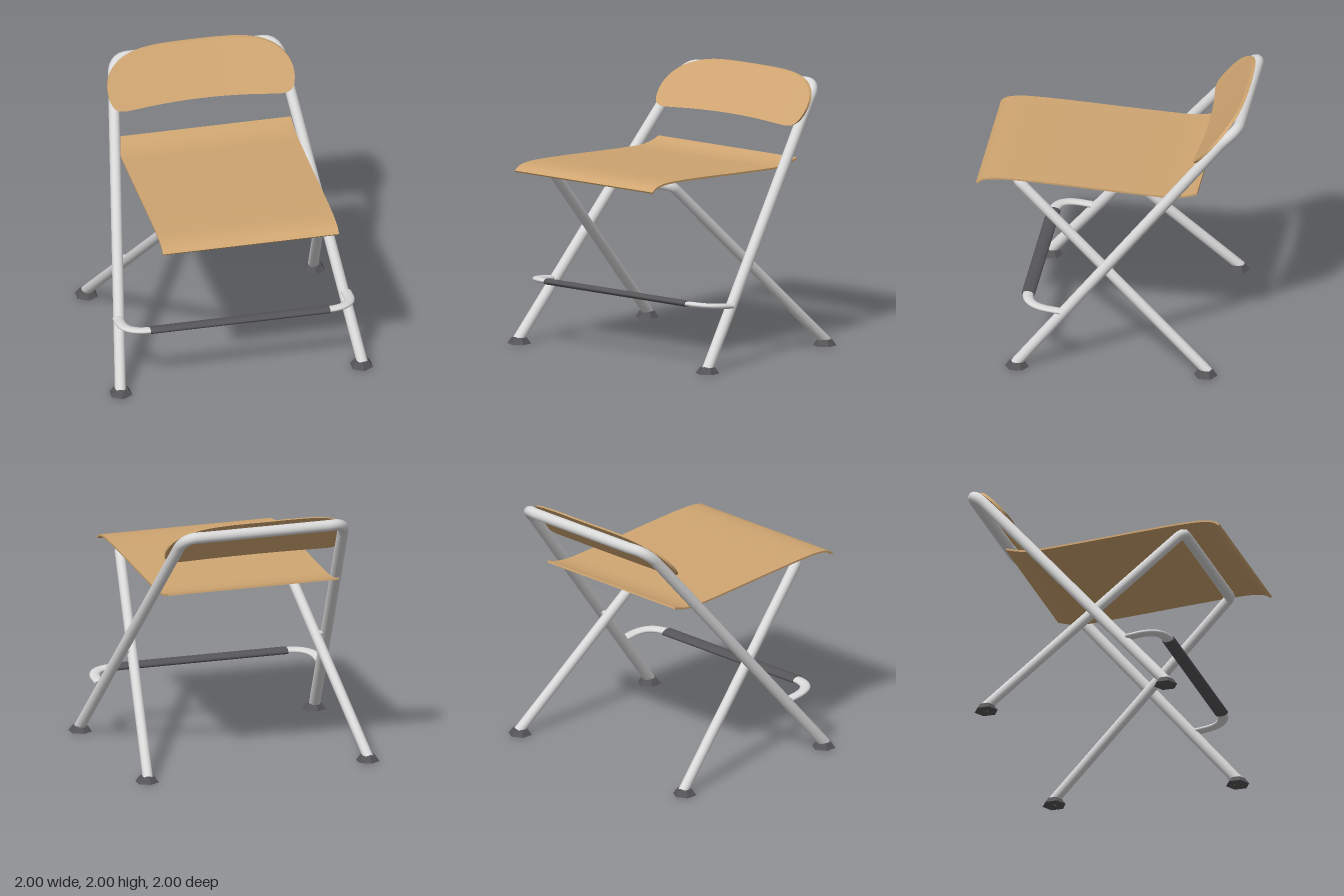
import * as THREE from 'three';

const V = (x, y, z) => new THREE.Vector3(x, y, z);

export function createModel() {
  const steel = new THREE.MeshStandardMaterial({ name: 'steel', color: 0xd9d9d9 });
  const rubber = new THREE.MeshStandardMaterial({ name: 'darkRubber', color: 0x565558 });
  const wood = new THREE.MeshStandardMaterial({ name: 'wood', color: 0xcfa571 });

  const chair = new THREE.Group();
  chair.name = 'foldingChair';
  const frame = new THREE.Group();
  frame.name = 'chairParts';
  frame.position.x = -0.0125;
  chair.add(frame);

  const add = (name, geometry, material, parent = frame) => {
    const mesh = new THREE.Mesh(geometry, material);
    mesh.name = name;
    parent.add(mesh);
    return mesh;
  };

  // Symmetric U of tube: end, start of bend, bend control and end of bend on the +x side
  const uTube = (end, bendStart, bendCorner, bendEnd, radius) => {
    const flip = p => V(-p.x, p.y, p.z);
    const path = new THREE.CurvePath();
    path.add(new THREE.LineCurve3(end, bendStart));
    path.add(new THREE.QuadraticBezierCurve3(bendStart, bendCorner, bendEnd));
    path.add(new THREE.LineCurve3(bendEnd, flip(bendEnd)));
    path.add(new THREE.QuadraticBezierCurve3(flip(bendEnd), flip(bendCorner), flip(bendStart)));
    path.add(new THREE.LineCurve3(flip(bendStart), flip(end)));
    return new THREE.TubeGeometry(path, 200, radius, 16, false);
  };

  // Long frame: front legs rising to the bar behind the backrest
  add('frontLegFrame', uTube(V(0.925, 0.025, 0.67), V(0.643, 1.83, -0.842),
    V(0.625, 1.935, -0.955), V(0.5, 1.922, -0.957), 0.042), steel);

  // Short frame: rear legs rising forward to the bar under the seat
  add('rearLegFrame', uTube(V(0.868, 0.025, -0.775), V(0.607, 1.36, 0.665),
    V(0.6, 1.392, 0.705), V(0.56, 1.388, 0.705), 0.039), steel);

  // Footrest: flattened tube with a dark grip sleeve
  const footrest = new THREE.Group();
  footrest.name = 'footrest';
  footrest.position.set(0, 0.457, 0.34);
  footrest.rotation.x = -0.12;
  frame.add(footrest);
  const bar = uTube(V(0.873, 0, 0), V(0.873, 0, 0.08), V(0.873, 0, 0.27), V(0.67, 0, 0.27), 0.04);
  bar.scale(1, 0.5, 1);
  add('footrestTube', bar, steel, footrest);
  const grip = new THREE.CylinderGeometry(0.05, 0.05, 1.37, 20);
  grip.rotateZ(Math.PI / 2).scale(1, 0.47, 1);
  add('footrestGrip', grip, rubber, footrest).position.z = 0.27;

  for (const [side, s] of [['left', 1], ['right', -1]]) {
    // Faceted rubber feet
    for (const [end, x, z] of [['Front', 0.92, 0.66], ['Rear', 0.868, -0.755]]) {
      const geometry = new THREE.CylinderGeometry(0.058, 0.09, 0.045, 6).toNonIndexed();
      geometry.computeVertexNormals();
      add(side + end + 'Foot', geometry, rubber).position.set(s * x, 0.0225, z);
    }
    // Pivot pin where the frames cross
    const pin = new THREE.CylinderGeometry(0.018, 0.018, 0.09, 12).rotateZ(Math.PI / 2);
    add(side + 'Pivot', pin, steel).position.set(s * 0.765, 0.785, 0.02);
  }

  // Seat: thin sheet following a gently waved profile
  const profile = new THREE.CatmullRomCurve3([
    [1.0, 1.385], [0.96, 1.413], [0.86, 1.431], [0.7, 1.431], [0.4, 1.416], [0, 1.391],
    [-0.3, 1.374], [-0.45, 1.369], [-0.57, 1.383], [-0.662, 1.409],
  ].map(([z, y]) => V(0, y, z)));
  const seat = new THREE.BoxGeometry(1.345, 0.014, 1, 1, 1, 60);
  const sp = seat.attributes.position;
  for (let i = 0; i < sp.count; i++) {
    const t = THREE.MathUtils.clamp(0.5 - sp.getZ(i), 0, 1);
    const p = profile.getPointAt(t), d = profile.getTangentAt(t), h = sp.getY(i);
    sp.setXYZ(i, sp.getX(i), p.y - d.z * h, p.z + d.y * h);
  }
  seat.computeVertexNormals();
  add('seat', seat, wood);

  // Backrest: rounded plate, leaning back and bowed backwards in the middle
  const back = new THREE.BoxGeometry(2, 1, 1, 64, 6, 1);
  const bp = back.attributes.position;
  for (let i = 0; i < bp.count; i++) {
    const s = Math.sin(bp.getX(i) * Math.PI / 2), a = Math.min(1, Math.abs(s));
    const top = 1.77 + 0.23 * Math.sqrt(1 - a ** 4);
    const bottom = 1.77 - (0.1 + 0.03 * a * a) * Math.sqrt(1 - a ** 16);
    const y = THREE.MathUtils.lerp(bottom, top, bp.getY(i) + 0.5);
    const front = -0.61 - 0.87 * (y - 1.65) - 0.03 * (1 - a * a);
    bp.setXYZ(i, 0.712 * s, y, front + (bp.getZ(i) - 0.5) * 0.026);
  }
  back.computeVertexNormals();
  add('backrest', back, wood);

  return chair;
}
